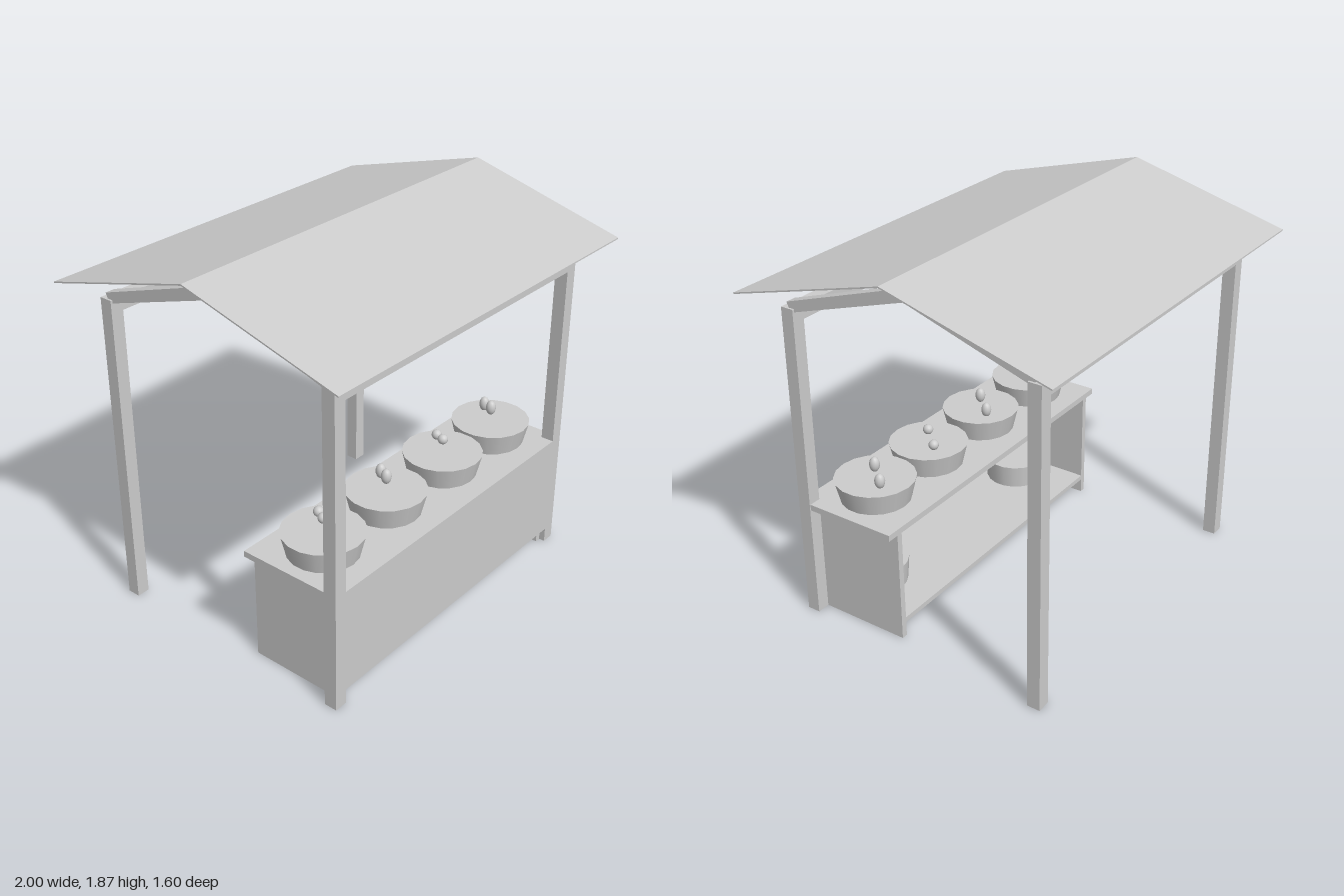
import * as THREE from 'three';

export function createModel() {
  const model = new THREE.Group();
  model.name = 'marketStall';
  const grey = new THREE.MeshStandardMaterial({ color: 0xcccccc });
  grey.name = 'plainGrey';

  const add = (name, geometry, x = 0, y = 0, z = 0, parent = model) => {
    const mesh = new THREE.Mesh(geometry, grey);
    mesh.name = name;
    mesh.position.set(x, y, z);
    parent.add(mesh);
    return mesh;
  };
  // Box given by its minimum and maximum corners
  const box = (name, x0, x1, y0, y1, z0, z1) =>
    add(name, new THREE.BoxGeometry(x1 - x0, y1 - y0, z1 - z0),
      (x0 + x1) / 2, (y0 + y1) / 2, (z0 + z1) / 2);
  // Outline in (z, y) swept along x, centred on the given x
  const sweepX = (name, points, width, x) => {
    const shape = new THREE.Shape(points.map(([z, y]) => new THREE.Vector2(-z, y)));
    const geometry = new THREE.ExtrudeGeometry(shape, { depth: width, bevelEnabled: false });
    geometry.translate(0, 0, -width / 2).rotateY(Math.PI / 2);
    return add(name, geometry, x);
  };

  // Corner posts and eave beams
  for (const sz of [-1, 1]) {
    for (const sx of [-1, 1]) {
      add('post', new THREE.BoxGeometry(0.065, 1.575, 0.065), sx * 0.8325, 0.7875, sz * 0.6325);
    }
    add('eaveBeam', new THREE.BoxGeometry(1.6, 0.065, 0.065), 0, 1.5425, sz * 0.6325);
  }

  // Gable rafters and ridge beam
  const rafter = [[0.625, 1.567], [0.64, 1.6], [0.03, 1.8], [-0.03, 1.8],
    [-0.64, 1.6], [-0.625, 1.567], [-0.6, 1.56], [0, 1.75], [0.6, 1.56]];
  for (const sx of [-1, 1]) sweepX('rafter', rafter, 0.05, sx * 0.83);
  box('ridgeBeam', -0.805, 0.805, 1.75, 1.8, -0.025, 0.025);

  // Thin pitched roof sheet
  sweepX('roof', [[0.8, 1.655], [0, 1.869], [-0.8, 1.655], [-0.8, 1.648], [0, 1.862], [0.8, 1.648]], 2, 0);

  // Counter with side walls and a low shelf
  box('counterTop', -0.86, 0.86, 0.57, 0.6, 0.138, 0.6);
  box('counterTopFront', -0.8, 0.8, 0.57, 0.6, 0.6, 0.665);
  box('frontPanel', -0.8, 0.8, 0.075, 0.57, 0.635, 0.665);
  box('leftWall', 0.77, 0.8, 0, 0.57, 0.14, 0.635);
  box('rightWall', -0.8, -0.77, 0, 0.57, 0.14, 0.635);
  box('shelf', -0.77, 0.77, 0.075, 0.1, 0.14, 0.635);

  // Bowls on the counter, each with two small round goods
  const counterBowl = new THREE.CylinderGeometry(0.193, 0.167, 0.108, 18);
  const egg = new THREE.SphereGeometry(0.025, 14, 10);
  [[-0.635, 1], [-0.2, 1.5], [0.23, 1], [0.63, 1.5]].forEach(([x, stretch]) => {
    const bowl = new THREE.Group();
    bowl.name = 'filledBowl';
    bowl.position.set(x, 0.6, 0.4);
    add('bowl', counterBowl, 0, 0.054, 0, bowl);
    add('roundGoods', egg, 0, 0.17, 0, bowl).scale.y = stretch;
    add('roundGoods', egg, 0.062, 0.138, -0.08, bowl).scale.y = stretch;
    model.add(bowl);
  });

  // Deep bowls set into the shelf
  const shelfBowl = new THREE.CylinderGeometry(0.165, 0.148, 0.22, 18);
  for (const sx of [-1, 1]) add('shelfBowl', shelfBowl, sx * 0.6, 0.11, 0.46);

  return model;
}
